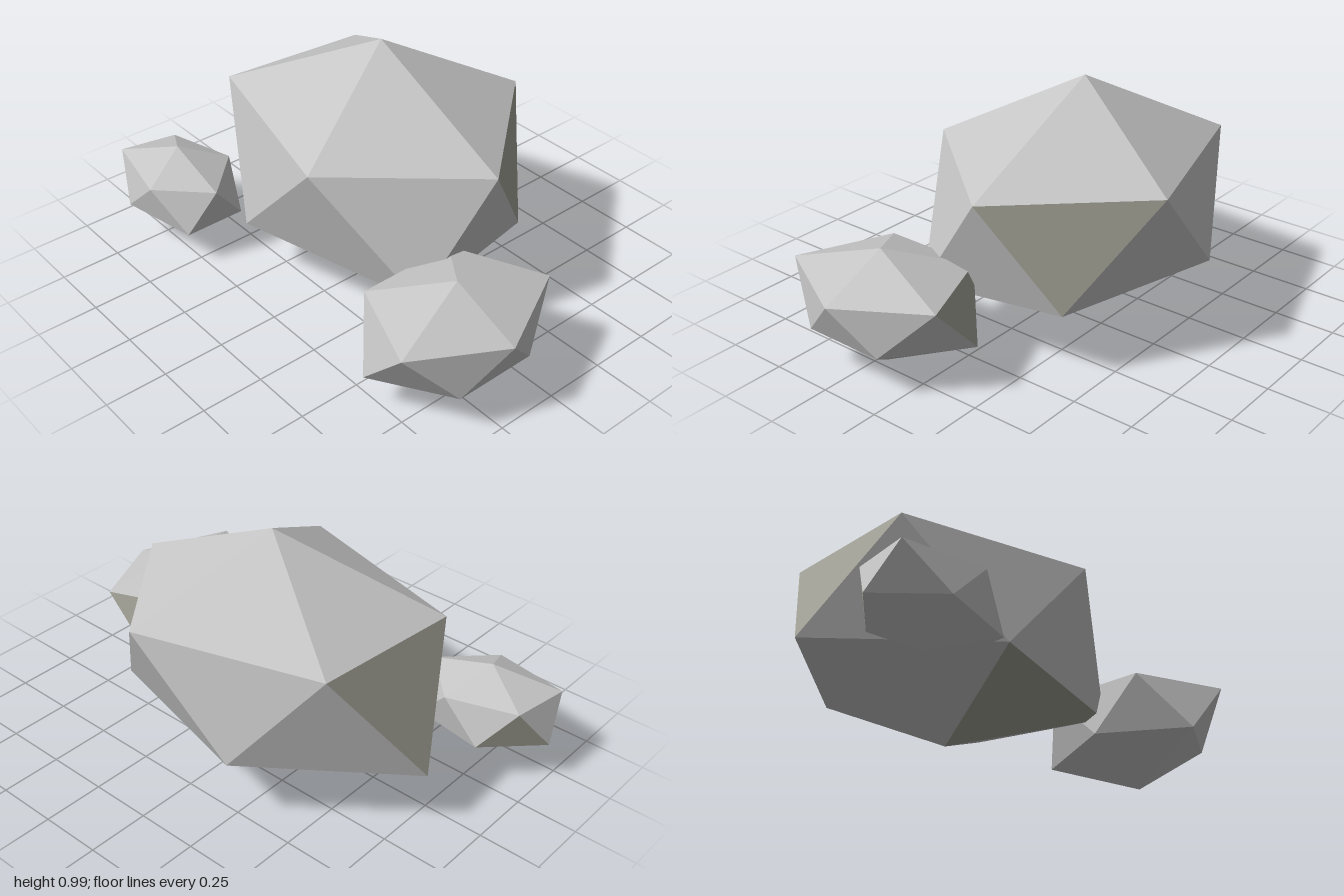
import * as THREE from 'three';

const stone = new THREE.MeshStandardMaterial({ color: 0xc5c5c5 });
stone.name = 'grey stone';
const moss = new THREE.MeshStandardMaterial({ color: 0xa2a297 });
moss.name = 'olive stone';

// Faceted boulder: a top and bottom point joined by two staggered rings of five.
// Faces are numbered crown 0-4, upper band 5-9, lower band 10-14, base 15-19.
function rock(name, top, bottom, upper, lower, tinted) {
  const faces = [[], [], [], []];
  for (let i = 0; i < 5; i++) {
    const j = (i + 1) % 5;
    faces[0].push([top, upper[i], upper[j]]);
    faces[1].push([upper[i], lower[i], upper[j]]);
    faces[2].push([upper[j], lower[i], lower[j]]);
    faces[3].push([bottom, lower[j], lower[i]]);
  }
  const geometry = new THREE.BufferGeometry();
  const list = faces.flat();
  geometry.setAttribute('position', new THREE.Float32BufferAttribute(list.flat(2), 3));
  list.forEach((_, i) => geometry.addGroup(i * 3, 3, tinted.includes(i) ? 1 : 0));
  geometry.computeVertexNormals(); // unshared corners keep the facets flat
  const mesh = new THREE.Mesh(geometry, [stone, moss]);
  mesh.name = name;
  return mesh;
}

export function createModel() {
  const group = new THREE.Group();
  group.name = 'rockCluster';

  // Large central boulder
  group.add(rock('largeBoulder', [-0.07, 0.985, -0.105], [-0.07, 0.05, -0.105],
    [[0.575, 0.68, -0.105], [0.145, 0.7, -0.63], [-0.58, 0.695, -0.4], [-0.635, 0.695, 0.215], [0.145, 0.7, 0.425]],
    [[0.43, 0.275, -0.39], [-0.265, 0.275, -0.57], [-0.82, 0.245, -0.105], [-0.285, 0.25, 0.41], [0.51, 0.245, 0.21]],
    [5, 7, 18]));

  // Medium stone on the left side
  group.add(rock('mediumStone', [0.715, 0.47, 0.22], [0.715, 0, 0.22],
    [[1.0, 0.35, 0.215], [0.82, 0.37, -0.145], [0.45, 0.365, 0.01], [0.45, 0.365, 0.42], [0.82, 0.37, 0.57]],
    [[0.925, 0.17, 0.05], [0.605, 0.14, -0.14], [0.435, 0.16, 0.22], [0.61, 0.15, 0.56], [0.925, 0.17, 0.39]],
    [6]));

  // Small stone on the right side
  group.add(rock('smallStone', [-0.72, 0.41, 0.435], [-0.72, 0.065, 0.435],
    [[-0.45, 0.32, 0.435], [-0.64, 0.32, 0.24], [-0.92, 0.325, 0.325], [-0.96, 0.33, 0.56], [-0.64, 0.32, 0.625]],
    [[-0.485, 0.15, 0.3], [-0.8, 0.165, 0.235], [-1.0, 0.165, 0.435], [-0.805, 0.165, 0.635], [-0.485, 0.15, 0.56]],
    [11]));

  return group;
}
